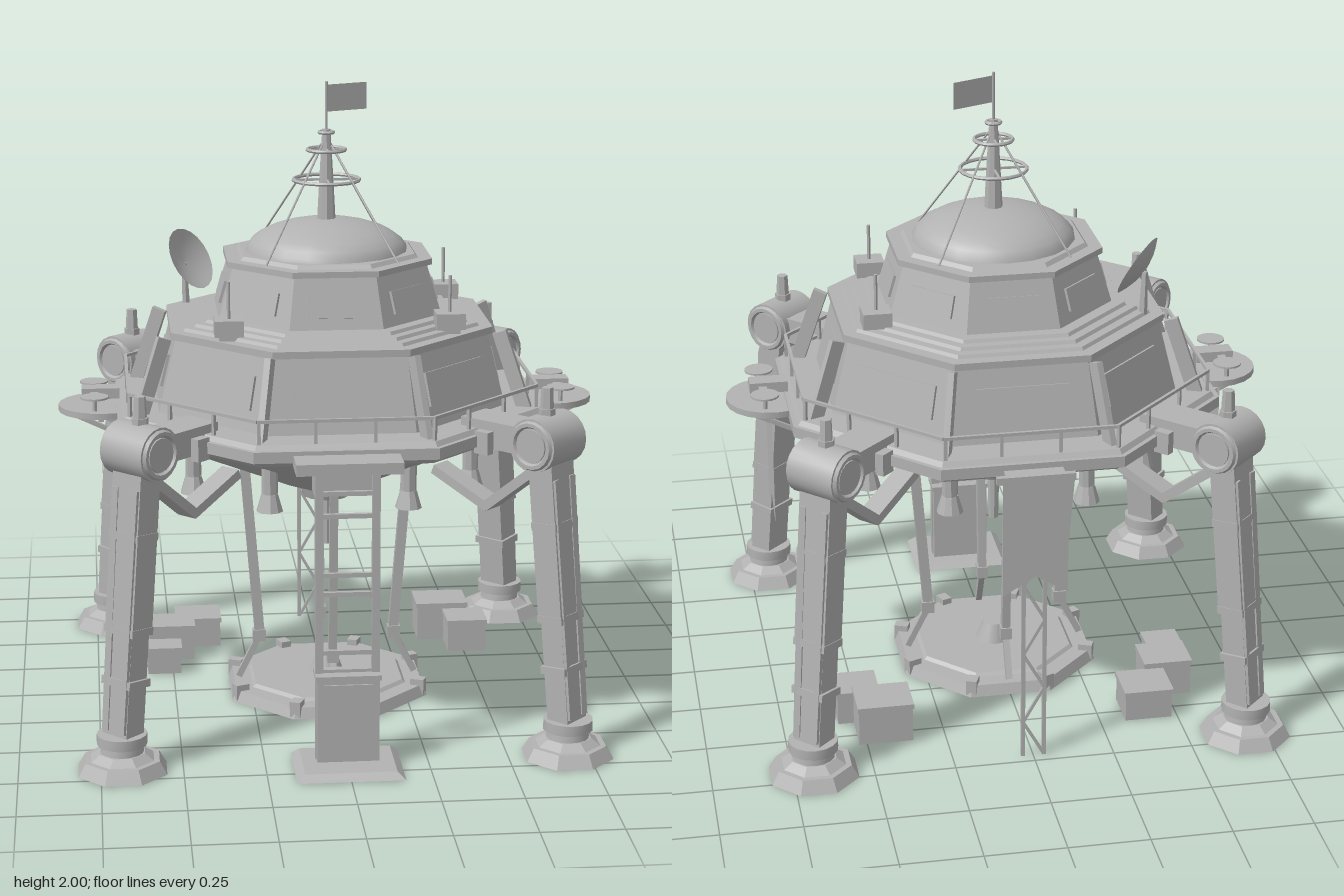
import * as THREE from 'three';
import { toCreasedNormals } from 'three/addons/utils/BufferGeometryUtils.js';

const hullGrey = new THREE.MeshStandardMaterial({ color: 0xb2b2b2 });
hullGrey.name = 'hull grey';
const sheetGrey = new THREE.MeshStandardMaterial({ color: 0xb2b2b2, side: THREE.DoubleSide });
sheetGrey.name = 'sheet grey';

const V = (x, y, z) => new THREE.Vector3(x, y, z);
const K = 1 / Math.cos(Math.PI / 8); // flat radius to corner radius of an octagon

function add(parent, name, geo, x = 0, y = 0, z = 0, mat = hullGrey, crease = 0.55) {
  const m = new THREE.Mesh(mat === sheetGrey ? geo : toCreasedNormals(geo, crease), mat);
  m.name = name;
  m.position.set(x, y, z);
  parent.add(m);
  return m;
}
const box = (p, n, w, h, d, x, y, z) => add(p, n, new THREE.BoxGeometry(w, h, d), x, y, z);
const cyl = (p, n, rt, rb, y0, y1, x = 0, z = 0, seg = 16) =>
  add(p, n, new THREE.CylinderGeometry(rt, rb, y1 - y0, seg), x, (y0 + y1) / 2, z);
// flat-faced octagonal tier given by flat radii at its top and bottom
const tier = (p, n, at, ab, y0, y1, x = 0) =>
  add(p, n, new THREE.CylinderGeometry(at * K, ab * K, y1 - y0, 8).rotateY(Math.PI / 8), x, (y0 + y1) / 2, 0, hullGrey, 0.1);
// straight beam between two points; w across x, d across z
function bar(p, n, a, b, w, d = w, round = false) {
  const dir = b.clone().sub(a), len = dir.length();
  const geo = round ? new THREE.CylinderGeometry(w, d, len, 6) : new THREE.BoxGeometry(w, len, d);
  const m = add(p, n, geo);
  m.position.copy(a).add(b).multiplyScalar(0.5);
  m.quaternion.setFromUnitVectors(V(0, 1, 0), dir.normalize());
  return m;
}
function group(p, name, rotY = 0) {
  const g = new THREE.Group();
  g.name = name;
  g.rotation.y = rotY;
  p.add(g);
  return g;
}

function buildHull(root) {
  const g = group(root, 'hull');
  tier(g, 'underside', 0.62, 0.12, 0.70, 0.935);
  tier(g, 'deckLower', 0.66, 0.64, 0.93, 0.95);
  tier(g, 'deck', 0.675, 0.675, 0.95, 0.985);
  tier(g, 'deckTop', 0.65, 0.66, 0.985, 1.0);
  tier(g, 'lowerTier', 0.49, 0.545, 1.0, 1.23);
  tier(g, 'lowerTierLip', 0.505, 0.505, 1.228, 1.25);
  // low steps up to the upper tier
  [0.465, 0.43, 0.395].forEach((r, i) => tier(g, 'roofStep', r - 0.006, r, 1.25 + i * 0.01, 1.26 + i * 0.01));
  tier(g, 'upperTier', 0.305, 0.355, 1.265, 1.44);
  tier(g, 'upperTierLip', 0.322, 0.322, 1.437, 1.456);
  tier(g, 'domeSeat', 0.27, 0.28, 1.456, 1.468);
  add(g, 'dome', new THREE.SphereGeometry(0.26, 20, 8, 0, Math.PI * 2, 0, Math.PI / 2).scale(1, 0.42, 1), 0, 1.458, 0);
  cyl(g, 'engineBell', 0.095, 0.1, 0.71, 0.79);
  cyl(g, 'engineNozzle', 0.095, 0.075, 0.655, 0.71);
  cyl(g, 'probe', 0.02, 0.016, 0.49, 0.66, 0, 0, 8);
  for (let i = 0; i < 8; i++) {
    const s = group(g, 'hullSide', i * Math.PI / 4);
    // windows lie on the sloping walls
    box(s, 'lowerWindow', 0.29, 0.105, 0.009, 0, 1.115, 0.522).rotation.x = -0.235;
    box(s, 'upperWindow', 0.165, 0.072, 0.009, 0, 1.35, 0.335).rotation.x = -0.278;
    // deck railing
    bar(s, 'rail', V(-0.265, 1.07, 0.64), V(0.265, 1.07, 0.64), 0.01);
    for (const x of [-0.26, -0.09, 0.09]) box(s, 'railPost', 0.01, 0.085, 0.01, x, 1.03, 0.64);
    // corner buttress
    const c = group(s, 'hullCorner', Math.PI / 8);
    bar(c, 'buttress', V(0, 0.99, 0.655), V(0, 1.235, 0.57), 0.02, 0.045);
  }
  // small thrusters under the hull, in mirrored pairs
  for (const [a, b] of [[0.44, 0.215], [0.215, 0.44]])
    for (const x of [-a, a]) for (const z of [-b, b]) {
      cyl(g, 'thrusterMount', 0.025, 0.025, 0.78, 0.88, x, z, 8);
      cyl(g, 'thruster', 0.026, 0.042, 0.735, 0.79, x, z, 10);
    }
  // roof equipment
  for (const [x, z] of [[0.40, -0.18], [0.36, 0.275], [-0.33, 0.315]]) {
    box(g, 'sensorBox', 0.09, 0.05, 0.085, x, 1.29, z);
    box(g, 'sensorBase', 0.06, 0.03, 0.06, x, 1.258, z);
    cyl(g, 'sensorRod', 0.006, 0.006, 1.31, 1.43, x, z, 6);
  }
  const dishProfile = [0, 0.03, 0.06, 0.085, 0.105].map(r => new THREE.Vector2(r, r * r * 2.5 - 0.012));
  const dish = add(g, 'dish', new THREE.LatheGeometry(dishProfile, 20), -0.435, 1.4, -0.19, sheetGrey);
  dish.quaternion.setFromUnitVectors(V(0, 1, 0), V(0.72, 0.48, 0.5).normalize());
  bar(g, 'dishMount', V(-0.44, 1.24, -0.2), V(-0.445, 1.39, -0.197), 0.01, 0.014, true);
}

function buildMast(root) {
  const g = group(root, 'mast');
  cyl(g, 'mastBase', 0.022, 0.03, 1.55, 1.7, 0, 0, 8);
  cyl(g, 'mastTop', 0.013, 0.022, 1.7, 1.85, 0, 0, 8);
  cyl(g, 'flagPole', 0.005, 0.005, 1.85, 2.0, 0, 0, 6);
  for (const [r, y] of [[0.105, 1.69], [0.06, 1.785], [0.022, 1.84]]) {
    add(g, 'mastRing', new THREE.TorusGeometry(r, 0.006, 6, 20).rotateX(Math.PI / 2), 0, y, 0);
    for (const a of [0, Math.PI / 2]) box(g, 'ringSpoke', r * 2, 0.007, 0.007, 0, y, 0).rotation.y = a;
  }
  for (const x of [-1, 1]) for (const z of [-1, 1])
    bar(g, 'stay', V(x * 0.015, 1.8, z * 0.015), V(x * 0.207, 1.455, z * 0.207), 0.0035, 0.0035, true);
  const flag = group(g, 'flagArm', 0.42);
  add(flag, 'flag', new THREE.PlaneGeometry(0.145, 0.085), 0.074, 1.947, 0, sheetGrey);
}

function buildLeg(root, i) {
  // local +x points outward from the hull
  const g = group(root, 'leg', Math.PI / 4 + i * Math.PI / 2);
  box(g, 'arm', 0.28, 0.085, 0.125, 0.73, 0.985, 0);
  for (const s of [-1, 1]) {
    box(g, 'armLug', 0.05, 0.07, 0.03, 0.69, 0.965, s * 0.08);
    add(g, 'hubCap', new THREE.CylinderGeometry(0.052, 0.052, 0.012, 16).rotateX(Math.PI / 2), 0.87, 0.985, s * 0.084);
    add(g, 'hubRing', new THREE.TorusGeometry(0.066, 0.011, 6, 18), 0.87, 0.985, s * 0.085);
  }
  add(g, 'hub', new THREE.CylinderGeometry(0.083, 0.083, 0.168, 20).rotateX(Math.PI / 2), 0.87, 0.985, 0);
  cyl(g, 'hubStub', 0.018, 0.022, 1.06, 1.15, 0.865, 0, 6);
  cyl(g, 'hubStubBase', 0.026, 0.026, 1.06, 1.085, 0.865, 0, 6);
  const at = y => V(0.882 + (0.93 - y) * 0.1, y, 0);
  bar(g, 'upperLeg', at(0.93), at(0.43), 0.085, 0.115);
  bar(g, 'lowerLeg', at(0.43), at(0.09), 0.075, 0.1);
  for (const y of [0.73, 0.44, 0.28]) bar(g, 'legBand', at(y + 0.012), at(y - 0.012), 0.09, 0.119);
  for (const s of [-1, 1])
    bar(g, 'legRail', at(0.88).add(V(0.043, 0, s * 0.042)), at(0.13).add(V(0.038, 0, s * 0.036)), 0.012, 0.022);
  // folded brace under the arm
  bar(g, 'outerBrace', V(0.84, 0.89, 0), V(0.66, 0.745, 0), 0.03, 0.07);
  bar(g, 'innerBrace', V(0.67, 0.745, 0), V(0.46, 0.83, 0), 0.03, 0.07);
  // foot
  tier(g, 'footPad', 0.112, 0.134, 0, 0.04, 0.968);
  tier(g, 'footCone', 0.068, 0.095, 0.04, 0.06, 0.968);
  cyl(g, 'ankle', 0.062, 0.066, 0.06, 0.09, 0.968, 0);
  cyl(g, 'ankleCollar', 0.077, 0.077, 0.085, 0.118, 0.968, 0);
}

function buildBanner(root, rotY, r) {
  const g = group(root, 'bannerMount', rotY);
  const s = new THREE.Shape([[-0.1, 0.95], [-0.1, 0.57], [0, 0.63], [0.1, 0.57], [0.1, 0.95]].map(p => new THREE.Vector2(...p)));
  add(g, 'banner', new THREE.ShapeGeometry(s), 0, 0, r, sheetGrey);
  box(g, 'bannerBar', 0.24, 0.022, 0.018, 0, 0.957, r);
  box(g, 'bannerBracket', 0.18, 0.02, r - 0.64, 0, 0.957, (r + 0.64) / 2);
}

function buildSidePad(root, side) {
  const g = group(root, 'sidePad', side > 0 ? 0 : Math.PI);
  cyl(g, 'pad', 0.145, 0.145, 0.958, 0.978, 0.715, 0, 20);
  for (const z of [-0.07, 0.07]) bar(g, 'padStrut', V(0.81, 0.96, z), V(0.6, 0.86, z), 0.014);
  // parked flyer with two rotors
  box(g, 'flyerBody', 0.12, 0.034, 0.06, 0.725, 1.015, 0);
  box(g, 'flyerBoom', 0.025, 0.012, 0.2, 0.745, 1.015, 0);
  for (const z of [-0.105, 0.105]) {
    cyl(g, 'rotor', 0.045, 0.045, 1.02, 1.026, 0.745, z);
    cyl(g, 'rotorLeg', 0.008, 0.008, 0.975, 1.02, 0.745, z, 6);
  }
}

function buildLift(root) {
  const g = group(root, 'lift');
  box(g, 'porch', 0.32, 0.035, 0.13, 0, 0.955, 0.715);
  box(g, 'porchBracket', 0.19, 0.1, 0.09, 0, 0.885, 0.6);
  for (const x of [-0.086, 0.086]) box(g, 'liftRail', 0.024, 0.93, 0.024, x, 0.48, 0.7);
  for (const y of [0.3, 0.36, 0.545, 0.605, 0.79, 0.86]) box(g, 'rung', 0.16, 0.014, 0.014, 0, y, 0.7);
  box(g, 'cabin', 0.19, 0.27, 0.08, 0, 0.155, 0.7);
  box(g, 'cabinDoor', 0.15, 0.23, 0.008, 0, 0.155, 0.742);
  box(g, 'cabinRoof', 0.2, 0.015, 0.09, 0, 0.29, 0.7);
  // bevelled ground plate
  const base = new THREE.CylinderGeometry(0.6, Math.SQRT1_2, 0.022, 4).rotateY(Math.PI / 4).scale(0.33, 1, 0.25);
  add(g, 'liftBase', base, 0, 0.011, 0.725, hullGrey, 0.1);
}

function buildLattice(root) {
  const g = group(root, 'lattice');
  const z = -0.7;
  for (const x of [-0.033, 0.033]) box(g, 'latticeRail', 0.012, 0.95, 0.012, x, 0.475, z);
  for (let i = 0; i < 8; i++) {
    const s = i % 2 ? -0.033 : 0.033;
    bar(g, 'latticeBrace', V(-s, i * 0.118, z), V(s, (i + 1) * 0.118, z), 0.009);
  }
}

function buildLowerPlatform(root) {
  const g = group(root, 'lowerPlatform');
  tier(g, 'platform', 0.305, 0.318, 0, 0.035);
  tier(g, 'platformInset', 0.24, 0.25, 0.035, 0.045);
  cyl(g, 'pedestal', 0.035, 0.06, 0.04, 0.105, 0, 0, 12);
  for (let i = 0; i < 8; i++) box(group(g, 'rimClamp', i * Math.PI / 4 + Math.PI / 8), 'clamp', 0.035, 0.05, 0.045, 0, 0.03, 0.315);
  for (let i = 0; i < 4; i++) {
    const s = group(g, 'platformStrut', i * Math.PI / 2);
    bar(s, 'strut', V(0.27, 0.81, 0), V(0.22, 0.18, 0), 0.032, 0.026);
    box(s, 'strutJoint', 0.042, 0.04, 0.036, 0.222, 0.18, 0);
    bar(s, 'strutFoot', V(0.225, 0.17, 0), V(0.29, 0.04, 0), 0.02);
  }
}

export function createModel() {
  const model = new THREE.Group();
  model.name = 'walkerStation';
  const root = group(model, 'station');
  root.position.z = -0.015;
  buildHull(root);
  buildMast(root);
  for (let i = 0; i < 4; i++) buildLeg(root, i);
  buildBanner(root, Math.PI / 2, 0.725);
  buildBanner(root, -Math.PI / 2, 0.725);
  buildBanner(root, Math.PI, 0.72);
  for (const s of [-1, 1]) buildSidePad(root, s);
  buildLift(root);
  buildLattice(root);
  buildLowerPlatform(root);
  // crates on the ground: x, z, width, height, depth
  for (const [x, z, w, h, d] of [[0.44, -0.48, 0.17, 0.13, 0.14], [0.51, -0.345, 0.13, 0.11, 0.13],
    [-0.405, -0.48, 0.15, 0.1, 0.14], [-0.5, -0.345, 0.15, 0.12, 0.13], [-0.53, -0.19, 0.11, 0.09, 0.09]]) {
    box(root, 'crate', w, h, d, x, h / 2, z);
    box(root, 'crateLid', w + 0.008, 0.016, d + 0.008, x, h - 0.008, z);
  }
  return model;
}
